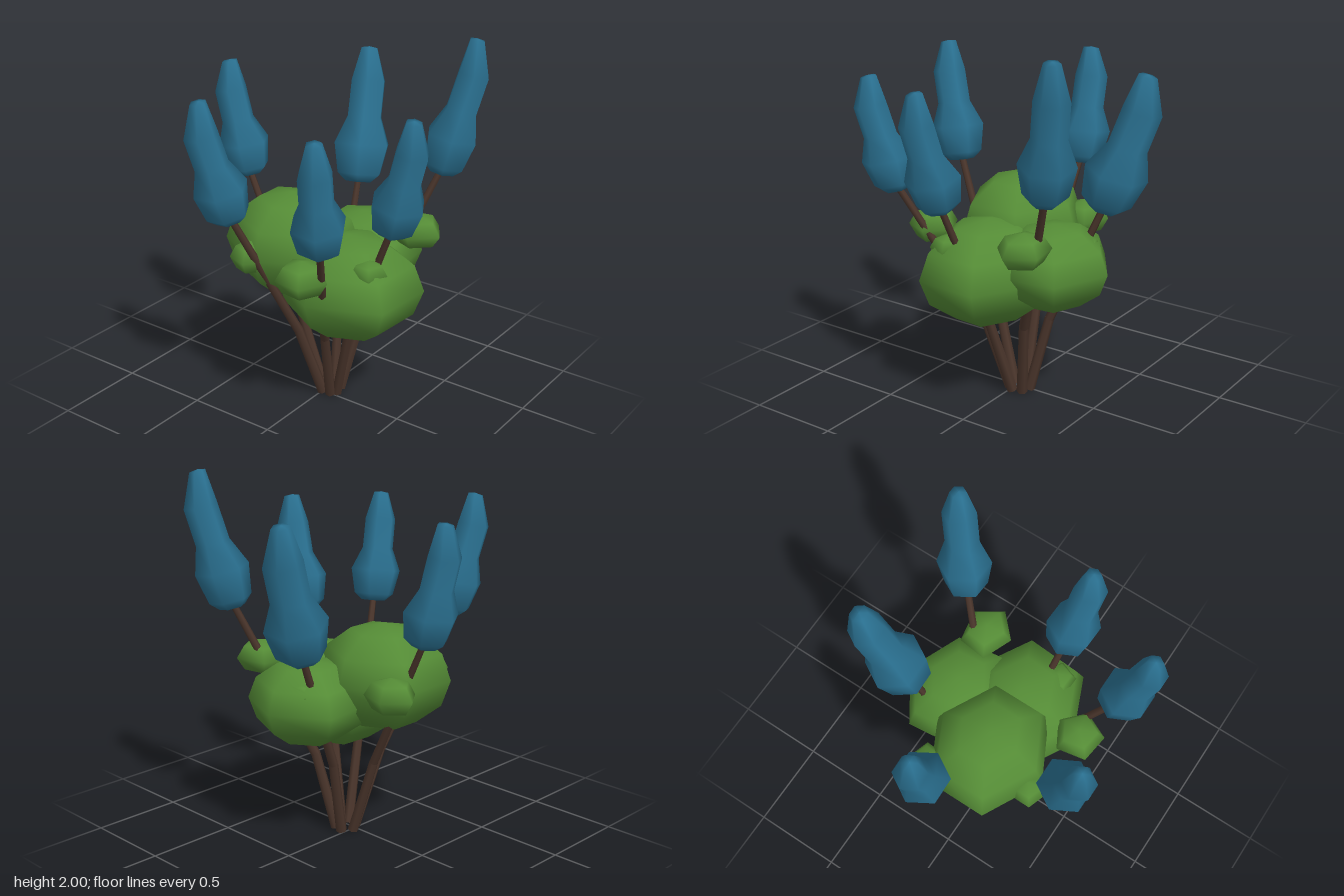
import * as THREE from 'three';

const mat = (color) => new THREE.MeshStandardMaterial({ color });
const UP = new THREE.Vector3(0, 1, 0);
const V = (p) => new THREE.Vector3(...p);

export function createModel() {
  const group = new THREE.Group();
  const leaf = mat(0x558c36), petal = mat(0x2a7090), bark = mat(0x4a352b);

  const add = (name, geometry, material) => {
    const mesh = new THREE.Mesh(geometry, material);
    mesh.name = name;
    group.add(mesh);
    return mesh;
  };

  // Put a piece that runs along +y at a point and lean it along a direction
  const lean = (mesh, at, direction) => {
    mesh.position.copy(at);
    mesh.quaternion.setFromUnitVectors(UP, direction.clone().normalize());
  };

  // Large foliage clumps: centre, radii, turn about y
  const clumps = [
    [[-0.04, 0.75, 0.2], [0.355, 0.285, 0.415], -0.06],
    [[-0.065, 0.915, -0.15], [0.335, 0.285, 0.375], 0],
    [[0.28, 0.8, 0.07], [0.31, 0.23, 0.335], 0.1],
  ];
  // Small tufts on the clumps
  const tufts = [
    [[-0.42, 0.92, 0.18], [0.14, 0.1, 0.14], 0.5],
    [[0.31, 0.985, 0.39], [0.14, 0.095, 0.16], 0.2],
    [[0.165, 0.91, -0.42], [0.13, 0.1, 0.15], 0.9],
    [[-0.35, 0.91, -0.21], [0.11, 0.09, 0.11], 0.3],
    [[-0.15, 0.91, 0.4], [0.1, 0.07, 0.1], 0.6],
    [[0.41, 0.89, -0.02], [0.1, 0.07, 0.1], 0.4],
  ];
  const foliage = (name, list, around, down) => list.forEach(([at, size, turn]) => {
    const geometry = new THREE.SphereGeometry(1, around, down);
    geometry.rotateY(turn);
    const mesh = add(name, geometry, leaf);
    mesh.position.set(...at);
    mesh.scale.set(...size);
  });
  foliage('foliageClump', clumps, 6, 6);
  foliage('foliageTuft', tufts, 5, 4);

  // Flower spikes: base, tip, width factor
  const flowers = [
    [[0.055, 1.18, -0.54], [0.042, 1.81, -0.65], 1],
    [[0.47, 1.28, 0.44], [0.58, 2.0, 0.555], 1],
    [[0.475, 1.1, -0.1], [0.67, 1.82, -0.17], 1.16],
    [[-0.52, 1.18, -0.2], [-0.65, 1.83, -0.265], 1],
    [[-0.52, 1.15, 0.365], [-0.64, 1.76, 0.42], 1],
    [[-0.115, 1.15, 0.51], [-0.15, 1.775, 0.645], 1],
  ];
  // Spike outline: radius, height share
  const outline = [[0, 0], [0.07, 0], [0.115, 0.06], [0.145, 0.28], [0.09, 0.48], [0.089, 0.75], [0.042, 0.99], [0, 1]];

  const root = new THREE.Vector3(0.04, 0, 0.03);
  const crown = new THREE.Vector3(0.015, 0.44, 0.025);
  for (const [b, t, width] of flowers) {
    const base = V(b), tip = V(t), axis = tip.clone().sub(base), length = axis.length();
    const out = base.clone().sub(root).setY(0).normalize();

    const profile = outline.map(([r, h]) => new THREE.Vector2(r * width, h * length));
    const spike = new THREE.LatheGeometry(profile, 6);
    // Bow the upper part outward
    const p = spike.attributes.position;
    for (let i = 0; i < p.count; i++) {
      const h = p.getY(i) / length, bow = 0.3 * h ** 3 * (1 - h);
      p.setX(i, p.getX(i) + out.x * bow);
      p.setZ(i, p.getZ(i) + out.z * bow);
    }
    lean(add('flowerSpike', spike, petal), base, axis);

    // Bent stem from the root up into the spike
    const foot = root.clone().addScaledVector(out, 0.055).setY(0.012);
    const bend = crown.clone().addScaledVector(out, 0.185);
    const path = [foot, bend, base.clone().addScaledVector(axis, 0.05)];
    const radii = [0.03, 0.026, 0.018];
    for (let i = 0; i < 2; i++) {
      const run = path[i + 1].clone().sub(path[i]), h = run.length() + 0.008;
      const geometry = new THREE.CylinderGeometry(radii[i + 1], radii[i], h, 6);
      geometry.translate(0, h / 2, 0);
      lean(add('stem', geometry, bark), path[i], run);
    }
  }
  return group;
}
